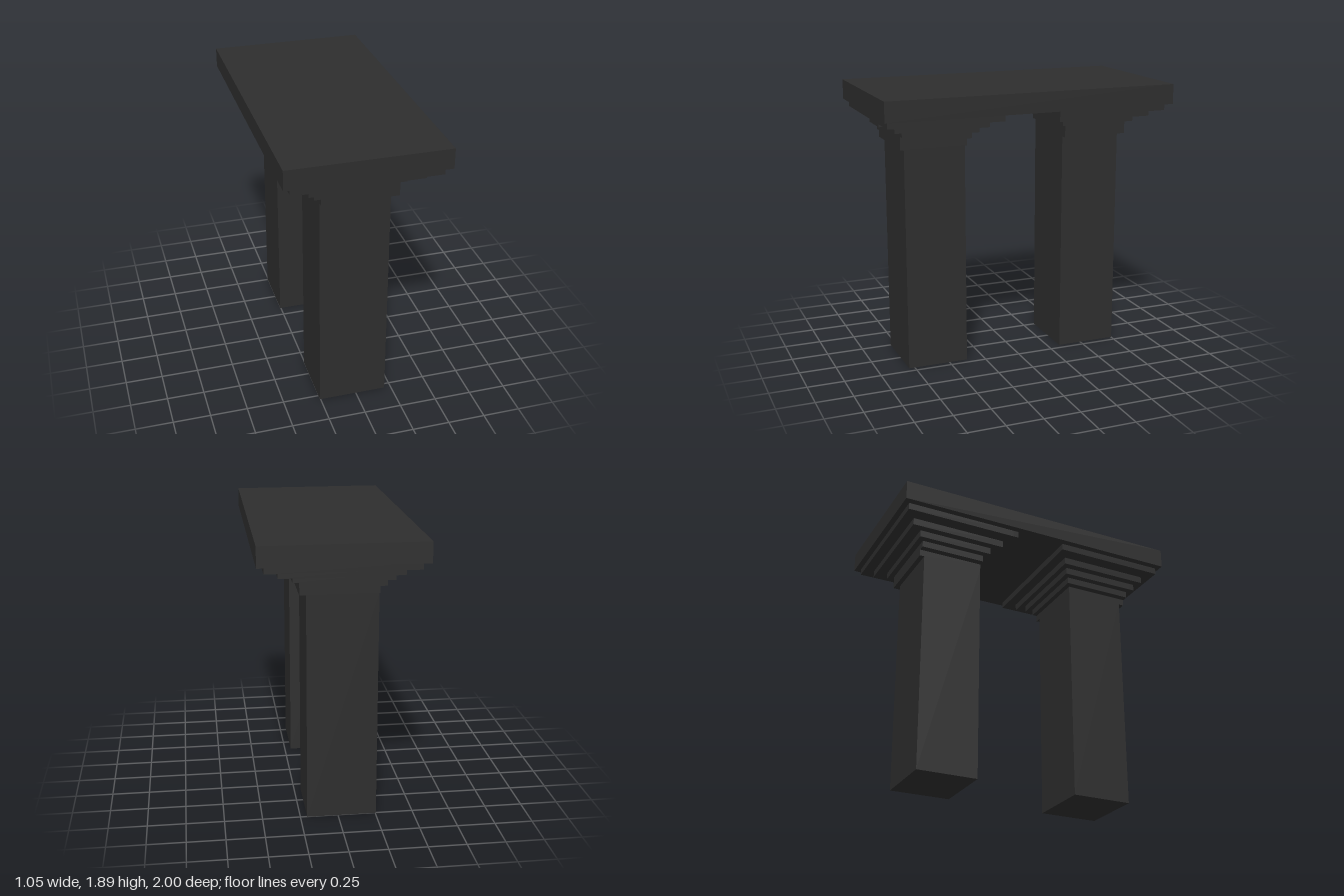
import * as THREE from 'three';

const charcoal = new THREE.MeshStandardMaterial({ color: 0x2d2d2d });
charcoal.name = 'charcoal';

// Box given by its extents along each axis
function block(name, [x0, x1], [y0, y1], [z0, z1]) {
  const mesh = new THREE.Mesh(new THREE.BoxGeometry(x1 - x0, y1 - y0, z1 - z0), charcoal);
  mesh.position.set((x0 + x1) / 2, (y0 + y1) / 2, (z0 + z1) / 2);
  mesh.name = name;
  return mesh;
}

// Stepped capital courses, bottom to top: x extent, y extent
const courses = [
  [[-0.255, 0.25], [1.525, 1.57]],
  [[-0.3, 0.25], [1.57, 1.615]],
  [[-0.345, 0.295], [1.615, 1.662]],
  [[-0.395, 0.39], [1.662, 1.71]],
  [[-0.485, 0.48], [1.71, 1.756]],
];

// Square shaft with its capital; courseZ lists the depth of each course
function pillar(name, shaftZ, courseZ) {
  const group = new THREE.Group();
  group.name = name;
  group.add(block('shaft', [-0.255, 0.205], [0, 1.525], shaftZ));
  courses.forEach(([x, y], i) => group.add(block('capitalCourse' + (i + 1), x, y, courseZ[i])));
  return group;
}

export function createModel() {
  const model = new THREE.Group();
  model.name = 'archway';

  // Lintel slab
  model.add(block('lintel', [-0.53, 0.525], [1.756, 1.89], [-1, 1]));

  const front = pillar('frontPillar', [0.372, 0.79],
    [[0.372, 0.827], [0.338, 0.827], [0.302, 0.827], [0.265, 0.902], [0.195, 0.972]]);
  // Uneven projecting stone on the third course
  front.add(block('projectingStone', [-0.345, -0.12], [1.615, 1.662], [0.827, 0.865]));

  const back = pillar('backPillar', [-0.753, -0.335],
    [[-0.785, -0.335], [-0.785, -0.335], [-0.822, -0.298], [-0.892, -0.228], [-0.962, -0.192]]);
  // Uneven projecting stone on the top course
  back.add(block('projectingStone', [-0.485, -0.12], [1.71, 1.756], [-0.192, -0.154]));

  model.add(front, back);
  return model;
}
